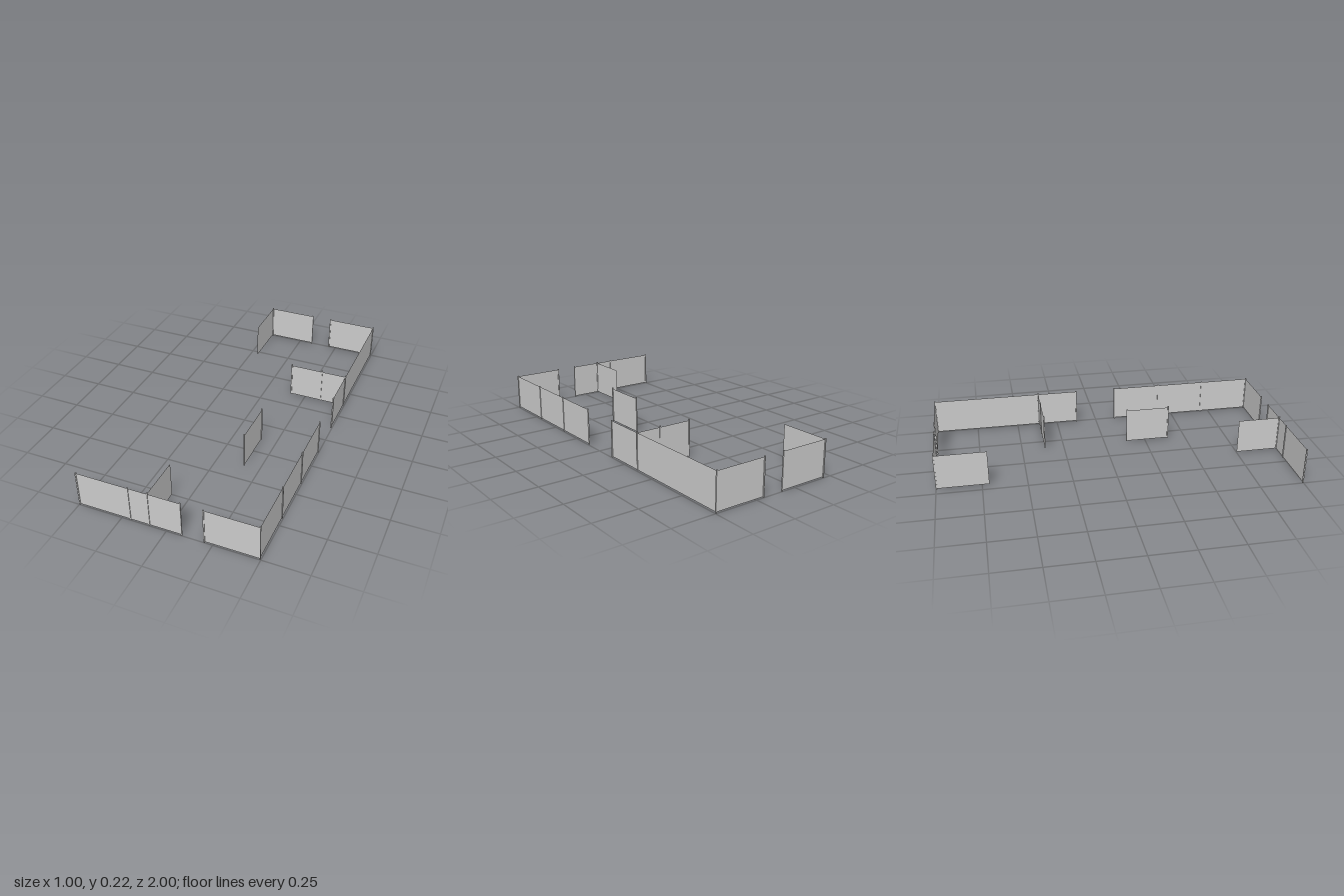
import * as THREE from 'three';

const PANEL_BOTTOM = 0.005, PANEL_TOP = 0.207;
const POST_SIZE = 0.007, POST_HEIGHT = 0.211;
const FRONT = 0.9965, BACK = -0.9965, SIDE = 0.494;

// Each run is a row of [x, z] points: a thin panel spans every neighbouring pair.
// lift raises the posts of the inner partitions slightly; bare names an end without a post.
const runs = [
  { name: 'frontLeftWall', points: [[0.205, FRONT], [SIDE, FRONT]] },
  { name: 'frontRightWall', points: [[-0.4965, FRONT], [-0.202, FRONT], [0.082, FRONT]] },
  { name: 'sideFrontWall', points: [[SIDE, FRONT], [SIDE, 0.697], [SIDE, 0.408], [SIDE, 0.122]], skipFirst: true },
  { name: 'sideBackWall', points: [[SIDE, BACK], [SIDE, -0.364], [SIDE, -0.125]], skipMiddle: true },
  { name: 'backLeftWall', points: [[0.205, BACK], [SIDE, BACK]] },
  { name: 'backRightWall', points: [[-0.202, BACK], [0.082, BACK]] },
  { name: 'backReturnWall', points: [[-0.202, BACK], [-0.202, -0.71]], skipFirst: true, bareEnd: true },
  { name: 'frontPartition', points: [[-0.095, FRONT], [-0.095, 0.75]], lift: 0.004, bareEnd: true },
  { name: 'backPartition', points: [[0.161, -0.364], [0.349, -0.364], [SIDE, -0.364]], lift: 0.004 },
  { name: 'middlePartition', points: [[0.161, 0.137], [0.161, 0.39]], lift: 0.004 },
];

export function createModel() {
  const model = new THREE.Group();
  const postMaterial = new THREE.MeshStandardMaterial({ color: 0xcccccc });
  const panelMaterial = new THREE.MeshStandardMaterial({ color: 0xcccccc, side: THREE.DoubleSide });
  const postGeometry = new THREE.BoxGeometry(POST_SIZE, POST_HEIGHT, POST_SIZE);

  for (const { name, points, lift = 0, skipFirst, skipMiddle, bareEnd } of runs) {
    const wall = new THREE.Group();
    wall.name = name;

    // Upright posts; joints shared with another run are made only once
    points.forEach(([x, z], i) => {
      const last = i === points.length - 1;
      if ((skipFirst && i === 0) || (bareEnd && last)) return;
      if (skipMiddle && !last) return;
      const post = new THREE.Mesh(postGeometry, postMaterial);
      post.name = 'post';
      post.position.set(x, POST_HEIGHT / 2 + lift, z);
      wall.add(post);
    });

    // Thin panels between the posts
    for (let i = 1; i < points.length; i++) {
      const [x0, z0] = points[i - 1], [x1, z1] = points[i];
      const panel = new THREE.Mesh(
        new THREE.PlaneGeometry(Math.hypot(x1 - x0, z1 - z0), PANEL_TOP - PANEL_BOTTOM), panelMaterial);
      panel.name = 'panel';
      panel.position.set((x0 + x1) / 2, (PANEL_TOP + PANEL_BOTTOM) / 2, (z0 + z1) / 2);
      panel.rotation.y = Math.atan2(z0 - z1, x1 - x0);
      wall.add(panel);
    }
    model.add(wall);
  }
  return model;
}
